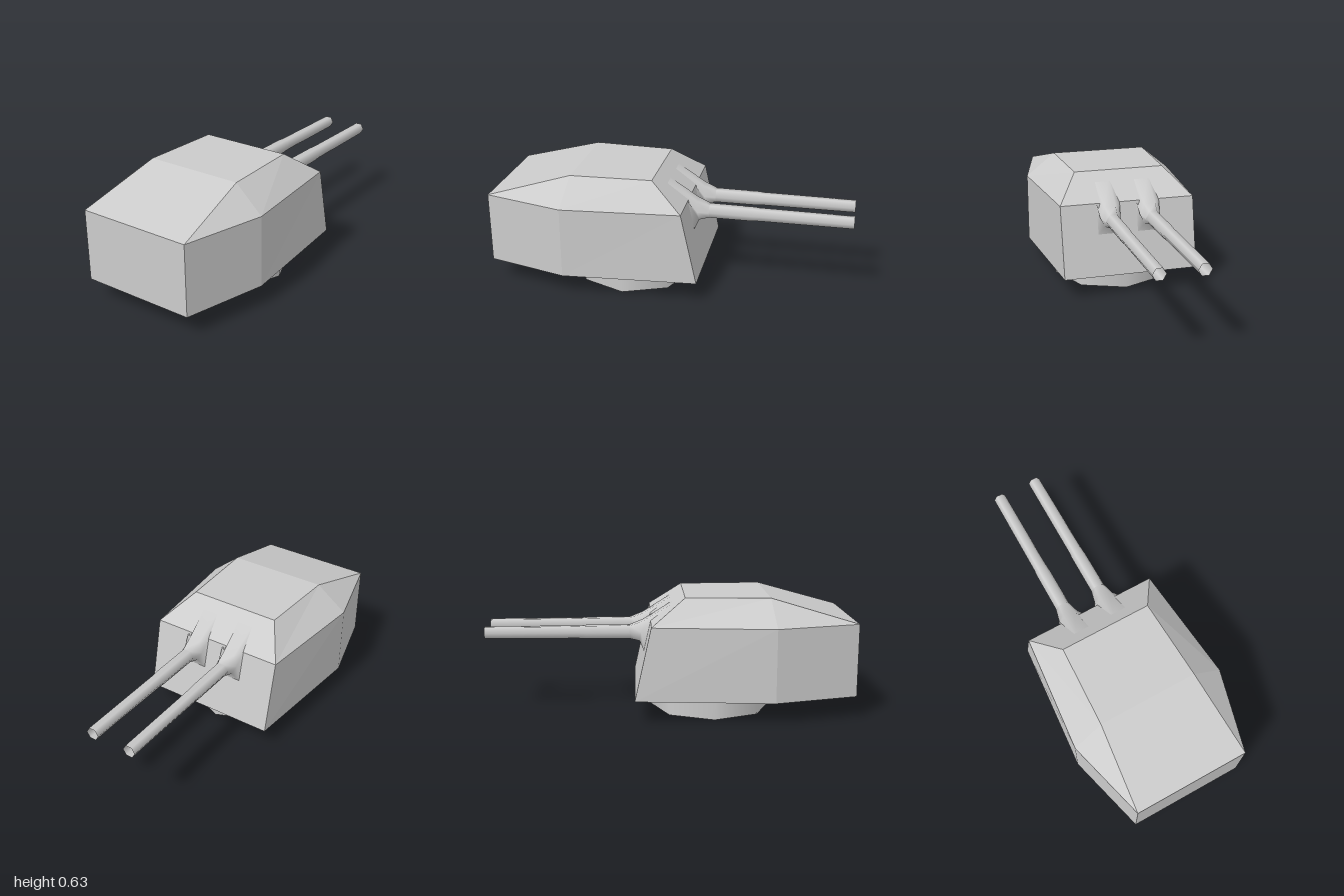
import * as THREE from 'three';

const flatGrey = new THREE.MeshStandardMaterial({ color: 0xcccccc, flatShading: true });
const grey = new THREE.MeshStandardMaterial({ color: 0xcccccc });
const openGrey = new THREE.MeshStandardMaterial({ color: 0xcccccc, side: THREE.DoubleSide });

// Joins rings of points [x, y, z] with equal counts into a tube of quads
function loft(rings, caps = []) {
  const n = rings[0].length;
  const index = [];
  for (let k = 0; k < rings.length - 1; k++) {
    for (let i = 0; i < n; i++) {
      const j = (i + 1) % n;
      const a = k * n + i, b = k * n + j;
      index.push(a, b, b + n, a, b + n, a + n);
    }
  }
  const geo = new THREE.BufferGeometry();
  geo.setAttribute('position', new THREE.Float32BufferAttribute(rings.flat(2), 3));
  geo.setIndex([...index, ...caps]);
  geo.computeVertexNormals();
  return geo;
}

// Six-sided plan outline, mirrored in z: front, middle and back pairs of [x, y, halfWidth]
const outline = (front, mid, back) => [
  [front, 1], [front, -1], [mid, -1], [back, -1], [back, 1], [mid, 1],
].map(([[x, y, w], s]) => [x, y, w * s]);

// Mantlet cross-section: bottom, side and top pairs of [x, y, halfWidth]
const section = (bottom, side, top) => [
  [bottom, 1], [bottom, -1], [side, -1], [top, -1], [top, 1], [side, 1],
].map(([[x, y, w], s]) => [x, y, w * s]);

function createGun() {
  const gun = new THREE.Group();

  // Mantlet: starts on the armour plates and narrows to a six-sided collar
  const mantlet = new THREE.Mesh(loft([
    section([0.155, 0.335, 0.063], [0.118, 0.5, 0.065], [-0.032, 0.608, 0.045]),
    section([0.178, 0.385, 0.032], [0.17, 0.435, 0.056], [0.163, 0.49, 0.031]),
    section([0.23, 0.396, 0.021], [0.23, 0.43, 0.041], [0.23, 0.465, 0.021]),
  ]), openGrey);
  mantlet.name = 'mantlet';

  // Barrel: thicker sleeve, then a slimmer tube with an open muzzle
  const profile = [[0.04, 0.2], [0.039, 0.46], [0.036, 0.5], [0.034, 0.995]];
  const barrelGeo = new THREE.LatheGeometry(profile.map(([r, y]) => new THREE.Vector2(r, y)), 6);
  barrelGeo.rotateZ(-Math.PI / 2);
  const barrel = new THREE.Mesh(barrelGeo, openGrey);
  barrel.position.y = 0.43;
  barrel.name = 'barrel';

  gun.add(mantlet, barrel);
  return gun;
}

export function createModel() {
  const model = new THREE.Group();
  model.name = 'gunTurret';

  // The whole turret is trained slightly off the x axis
  const turret = new THREE.Group();
  turret.name = 'turret';
  turret.rotation.y = 0.152;
  turret.position.set(-0.009, 0, -0.056);
  model.add(turret);

  // Armoured house: floor, waist and roof outlines; the roof falls to the waist at the back
  const back = [-0.952, 0.5, 0.314];
  const house = new THREE.Mesh(loft([
    outline([0.206, 0.115, 0.37], [-0.512, 0.115, 0.43], [-0.952, 0.115, 0.314]),
    outline([0.12, 0.5, 0.37], [-0.512, 0.5, 0.43], back),
    outline([-0.057, 0.632, 0.25], [-0.497, 0.632, 0.27], back),
  ], [
    12, 13, 14, 12, 14, 17, // flat roof
    17, 14, 15, 17, 15, 16, // rear roof slope
    2, 1, 0, 5, 2, 0, 3, 2, 5, 4, 3, 5, // floor
  ]), flatGrey);
  house.name = 'armouredHouse';

  // Open eight-sided ring below the house
  const ring = new THREE.Mesh(
    new THREE.CylinderGeometry(0.329, 0.329, 0.117, 8, 1, true), openGrey);
  ring.position.set(-0.209, 0.0585, 0.004);
  ring.name = 'baseRing';
  turret.add(house, ring);

  // Twin guns
  for (const [side, name] of [[1, 'rightGun'], [-1, 'leftGun']]) {
    const gun = createGun();
    gun.name = name;
    gun.position.z = side * 0.11;
    turret.add(gun);
  }
  return model;
}
